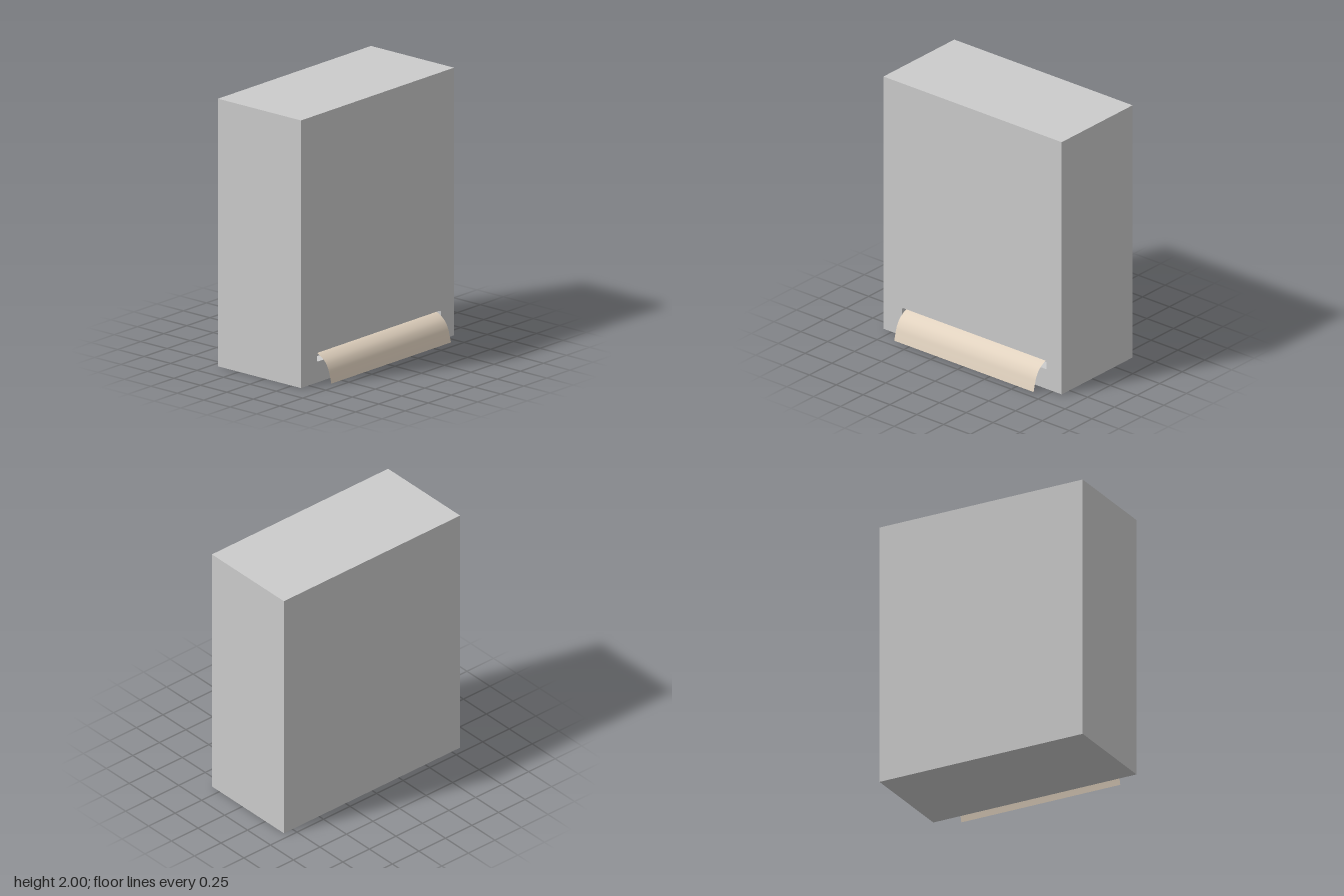
import * as THREE from 'three';

const X0 = -0.45, X1 = 0.335, HALF_Z = 0.83, HEIGHT = 2, DEPTH = 0.09;

// Outline of the dispensing slot, drawn in (-z, y)
function slotPath(l, r, b, t, c) {
  const p = new THREE.Path();
  p.moveTo(l + c, b);
  p.lineTo(r - c, b);
  p.quadraticCurveTo(r, b, r, b + c);
  p.lineTo(r, t - c);
  p.quadraticCurveTo(r, t, r - c, t);
  p.lineTo(l + c, t);
  p.quadraticCurveTo(l, t, l, t - c);
  p.lineTo(l, b + c);
  p.quadraticCurveTo(l, b, l + c, b);
  return p;
}

export function createModel() {
  const group = new THREE.Group();
  const grey = new THREE.MeshStandardMaterial({ color: 0xcccccc });
  const cream = new THREE.MeshStandardMaterial({ color: 0xe2d3c0, side: THREE.DoubleSide });
  const add = (name, geometry, material) => {
    const mesh = new THREE.Mesh(geometry, material);
    mesh.name = name;
    group.add(mesh);
    return mesh;
  };

  // Solid main block behind the slotted side
  const width = X1 - DEPTH - X0;
  add('cabinet', new THREE.BoxGeometry(width, HEIGHT, HALF_Z * 2), grey)
    .position.set(X0 + width / 2, HEIGHT / 2, 0);

  // Side layer with the slot cut through it
  const side = new THREE.Shape([
    new THREE.Vector2(-HALF_Z, 0), new THREE.Vector2(HALF_Z, 0),
    new THREE.Vector2(HALF_Z, HEIGHT), new THREE.Vector2(-HALF_Z, HEIGHT),
  ]);
  side.holes.push(slotPath(-0.655, 0.69, 0.155, 0.221, 0.012));
  const panel = new THREE.ExtrudeGeometry(side, { depth: DEPTH, bevelEnabled: false, curveSegments: 4 });
  panel.rotateY(Math.PI / 2);
  add('slottedSide', panel, grey).position.x = X1 - DEPTH;

  // Thin sheet coming out of the slot and bending down
  const curve = new THREE.CatmullRomCurve3([
    [0.25, 0.218], [0.3, 0.214], [0.345, 0.196], [0.39, 0.162], [0.42, 0.115], [0.437, 0.06], [0.45, 0.01],
  ].map(([x, y]) => new THREE.Vector3(x, y, 0)));
  const rows = 24;
  const sheet = new THREE.PlaneGeometry(1, 1, 1, rows);
  const pos = sheet.attributes.position;
  for (let i = 0; i < pos.count; i++) {
    const p = curve.getPoint(Math.floor(i / 2) / rows);
    pos.setXYZ(i, p.x, p.y, i % 2 ? -0.665 : 0.633);
  }
  sheet.computeVertexNormals();
  add('paperSheet', sheet, cream);

  return group;
}
